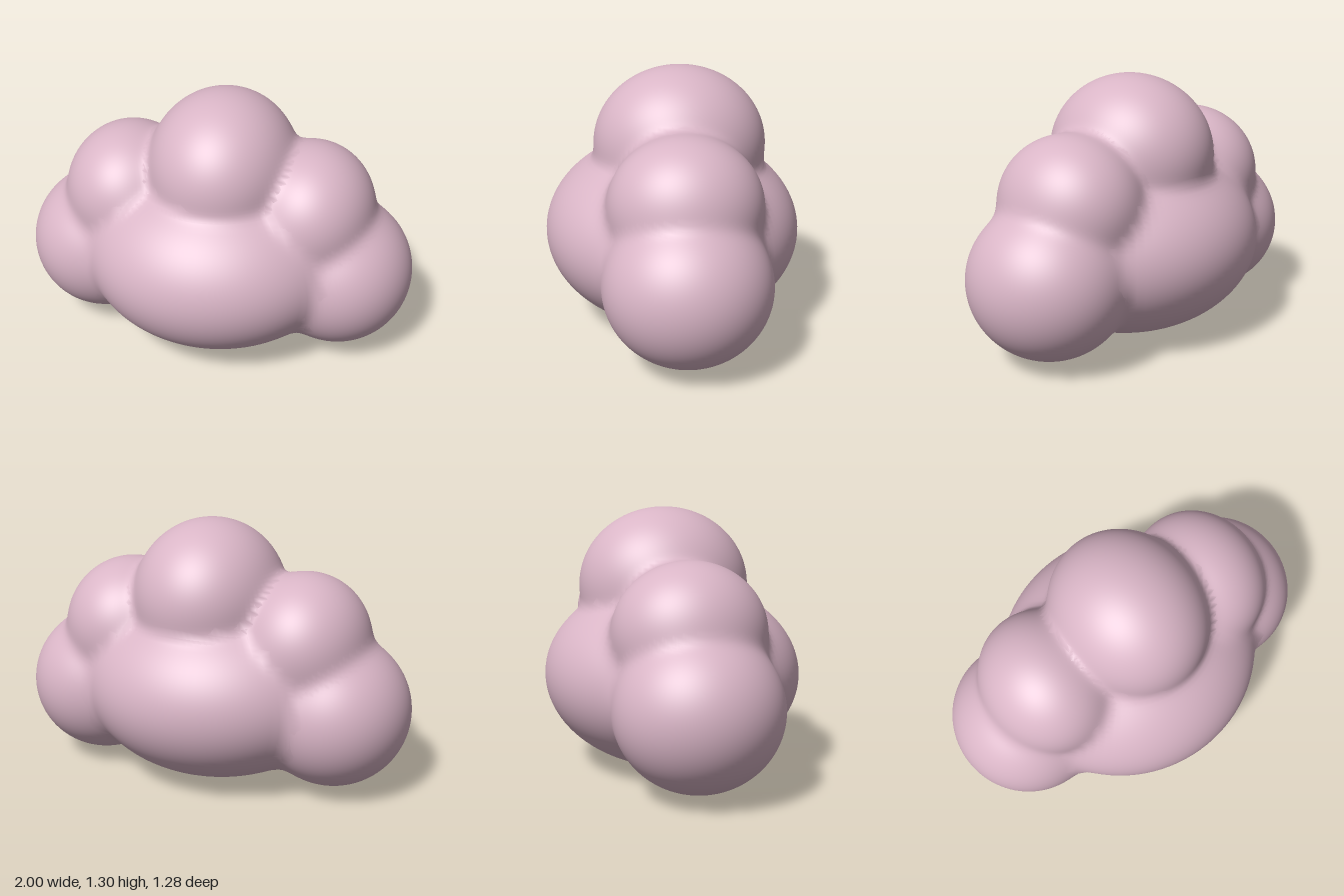
import * as THREE from 'three';

// Each puff is an ellipsoid: name, centre, radii
const PUFFS = [
  { name: 'bodyPuff', c: [0, 0.472, 0], r: [0.68, 0.47, 0.64] },
  { name: 'topPuff', c: [0.025, 0.92, -0.035], r: [0.375, 0.385, 0.425] },
  { name: 'leftUpperPuff', c: [0.465, 0.74, -0.035], r: [0.325, 0.335, 0.365] },
  { name: 'rightUpperPuff', c: [-0.465, 0.74, -0.035], r: [0.325, 0.335, 0.365] },
  { name: 'leftLowerPuff', c: [0.622, 0.41, -0.035], r: [0.378, 0.375, 0.395] },
  { name: 'rightLowerPuff', c: [-0.622, 0.41, -0.035], r: [0.378, 0.375, 0.395] },
].map((p) => ({ name: p.name, c: new THREE.Vector3(...p.c), r: new THREE.Vector3(...p.r) }));

const BLEND = 0.022; // softness of the creases between puffs
const MAX_PUSH = 0.06;
const q = new THREE.Vector3();

// Approximate signed distance to one ellipsoid
function puffDistance(p, { c, r }) {
  q.copy(p).sub(c).divide(r);
  const k0 = q.length();
  const k1 = q.divide(r).length();
  return k1 < 1e-6 ? -r.y : (k0 * (k0 - 1)) / k1;
}

// Signed distance to all puffs, softly joined
function cloudDistance(p) {
  let sum = 0;
  for (const puff of PUFFS) sum += Math.exp(-puffDistance(p, puff) / BLEND);
  return -BLEND * Math.log(sum);
}

// Smooth normal of the joined surface
function cloudNormal(p) {
  const e = 0.002;
  const slope = (axis) => {
    const a = p.clone(), b = p.clone();
    a[axis] += e;
    b[axis] -= e;
    return cloudDistance(a) - cloudDistance(b);
  };
  return new THREE.Vector3(slope('x'), slope('y'), slope('z')).normalize();
}

// Ellipsoid whose surface swells near its neighbours to fill the creases
function puffGeometry({ c, r }) {
  const geo = new THREE.SphereGeometry(1, 96, 64);
  const pos = geo.attributes.position;
  const nor = geo.attributes.normal;
  const p = new THREE.Vector3();
  for (let i = 0; i < pos.count; i++) {
    p.fromBufferAttribute(pos, i);
    const out = p.clone().divide(r).normalize();
    p.multiply(r).add(c);
    let pushed = 0;
    for (let step = 0; step < 6; step++) {
      const move = Math.min(Math.max(-cloudDistance(p), 0), MAX_PUSH - pushed);
      p.addScaledVector(out, move);
      pushed += move;
    }
    pos.setXYZ(i, p.x, p.y, p.z);
    const n = cloudNormal(p);
    nor.setXYZ(i, n.x, n.y, n.z);
  }
  return geo;
}

export function createModel() {
  const cloud = new THREE.Group();
  cloud.name = 'cloud';
  const pink = new THREE.MeshStandardMaterial({ color: 0xd9b5c6 });
  pink.name = 'dusty pink';
  for (const puff of PUFFS) {
    const mesh = new THREE.Mesh(puffGeometry(puff), pink);
    mesh.name = puff.name;
    cloud.add(mesh);
  }
  return cloud;
}
